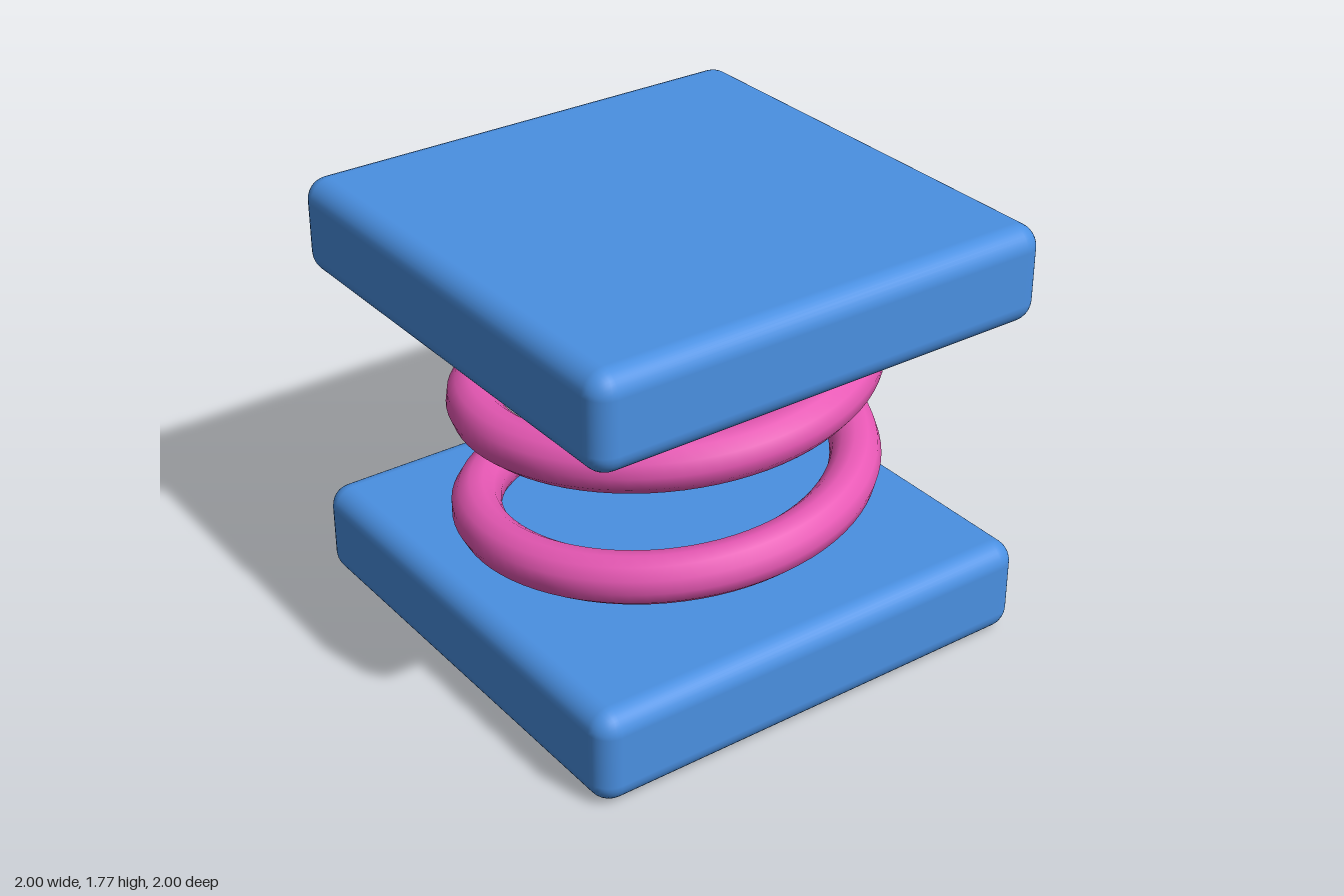
import * as THREE from 'three';
import { RoundedBoxGeometry } from 'three/addons/geometries/RoundedBoxGeometry.js';

const HEIGHT = 1.775, PLATE = 0.395;
const TURNS = 2.5, PITCH = 0.486, COIL_RADIUS = 0.75, WIRE_RADIUS = 0.102;

// Helix climbing from +x towards -z, centred on the model's mid height
class Helix extends THREE.Curve {
  getPoint(t, target = new THREE.Vector3()) {
    const a = t * TURNS * Math.PI * 2;
    return target.set(
      COIL_RADIUS * Math.cos(a),
      HEIGHT / 2 + (t - 0.5) * TURNS * PITCH,
      -COIL_RADIUS * Math.sin(a)
    );
  }
}

export function createModel() {
  const model = new THREE.Group();
  model.name = 'springBetweenPlates';
  const blue = new THREE.MeshStandardMaterial({ color: 0x4a90e2 });
  const pink = new THREE.MeshStandardMaterial({ color: 0xe858b5, side: THREE.DoubleSide });

  // Two identical rounded plates
  const plateGeometry = new RoundedBoxGeometry(2, PLATE, 2, 4, 0.09);
  for (const [name, y] of [['bottomPlate', PLATE / 2], ['topPlate', HEIGHT - PLATE / 2]]) {
    const plate = new THREE.Mesh(plateGeometry, blue);
    plate.name = name;
    plate.position.y = y;
    model.add(plate);
  }

  // Coil spring, its ends sunk into the plates
  const spring = new THREE.Mesh(new THREE.TubeGeometry(new Helix(), 200, WIRE_RADIUS, 12), pink);
  spring.name = 'coilSpring';
  model.add(spring);

  return model;
}
